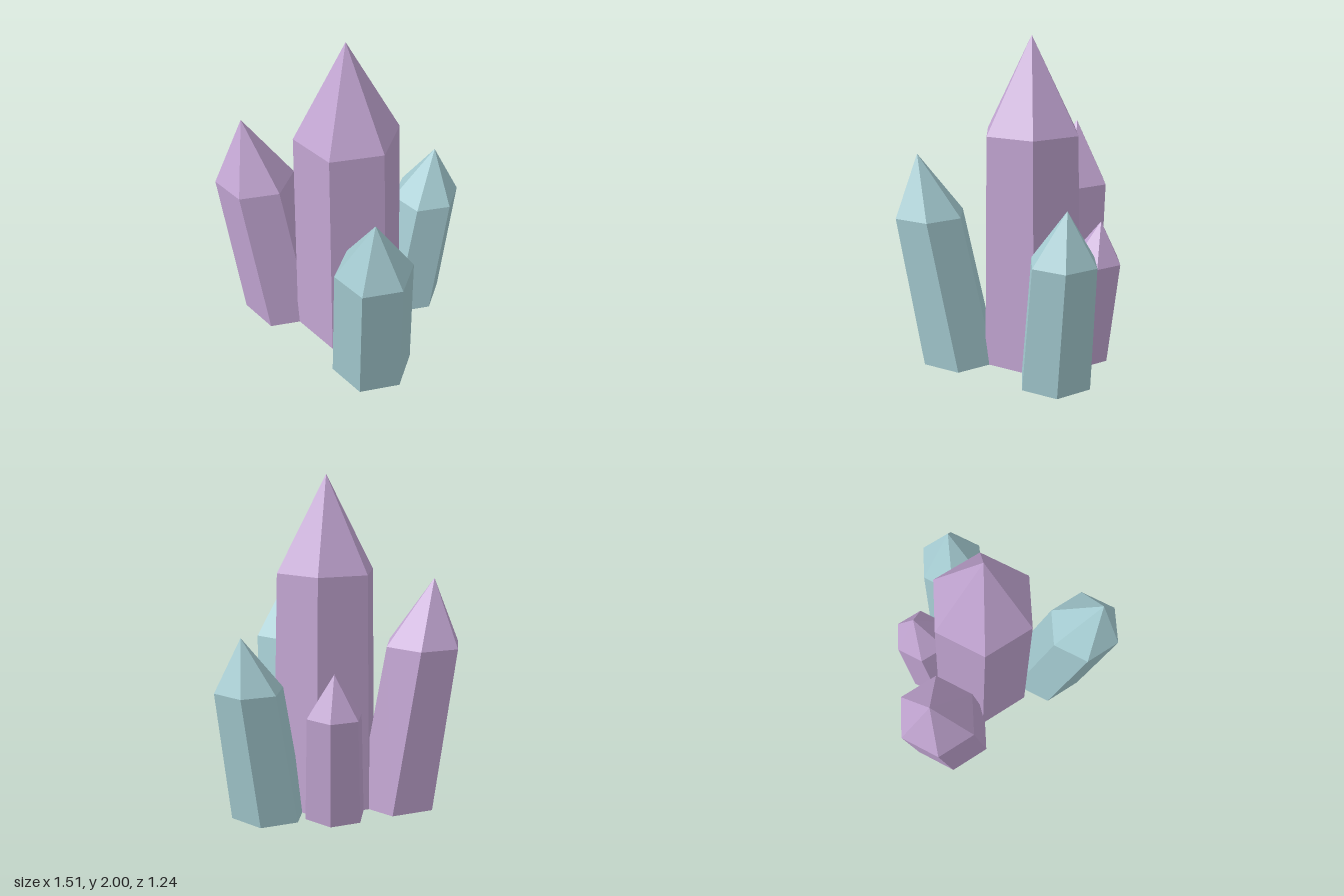
import * as THREE from 'three';

const SHOULDER = 0.715; // height fraction where the tip begins
const TAPER = 0.905;    // shoulder radius relative to the base

// Six-sided pointed crystal, leaning from its base centre to its apex
function crystalGeometry(radius, height, base, apex) {
  const profile = [
    new THREE.Vector2(0, 0),
    new THREE.Vector2(radius, 0),
    new THREE.Vector2(radius * TAPER, height * SHOULDER),
    new THREE.Vector2(0, height),
  ];
  const geometry = new THREE.LatheGeometry(profile, 6, Math.PI / 6).toNonIndexed();
  const pos = geometry.attributes.position;
  for (let i = 0; i < pos.count; i++) {
    const t = pos.getY(i) / height;
    pos.setX(i, pos.getX(i) + THREE.MathUtils.lerp(base[0], apex[0], t));
    pos.setZ(i, pos.getZ(i) + THREE.MathUtils.lerp(base[1], apex[1], t));
  }
  geometry.computeVertexNormals(); // one normal per facet
  return geometry;
}

export function createModel() {
  const purple = new THREE.MeshStandardMaterial({ color: 0xc3a6d3 });
  purple.name = 'purple crystal';
  const teal = new THREE.MeshStandardMaterial({ color: 0xa6cdd3 });
  teal.name = 'teal crystal';

  // name, material, base radius, height, base [x, z], apex [x, z]
  const crystals = [
    ['centralCrystal', purple, 0.341, 2.0, [-0.017, 0.105], [-0.017, 0.105]],
    ['frontRightCrystal', purple, 0.265, 1.4, [-0.398, 0.335], [-0.567, 0.442]],
    ['frontLeftCrystal', teal, 0.247, 1.3, [0.401, 0.295], [0.582, 0.447]],
    ['backLeftCrystal', teal, 0.229, 1.1, [0.08, -0.318], [0.12, -0.495]],
    ['backRightCrystal', purple, 0.188, 0.9, [-0.247, -0.09], [-0.32, -0.198]],
  ];

  const group = new THREE.Group();
  group.name = 'crystalCluster';
  for (const [name, material, radius, height, base, apex] of crystals) {
    const mesh = new THREE.Mesh(crystalGeometry(radius, height, base, apex), material);
    mesh.name = name;
    group.add(mesh);
  }
  return group;
}
